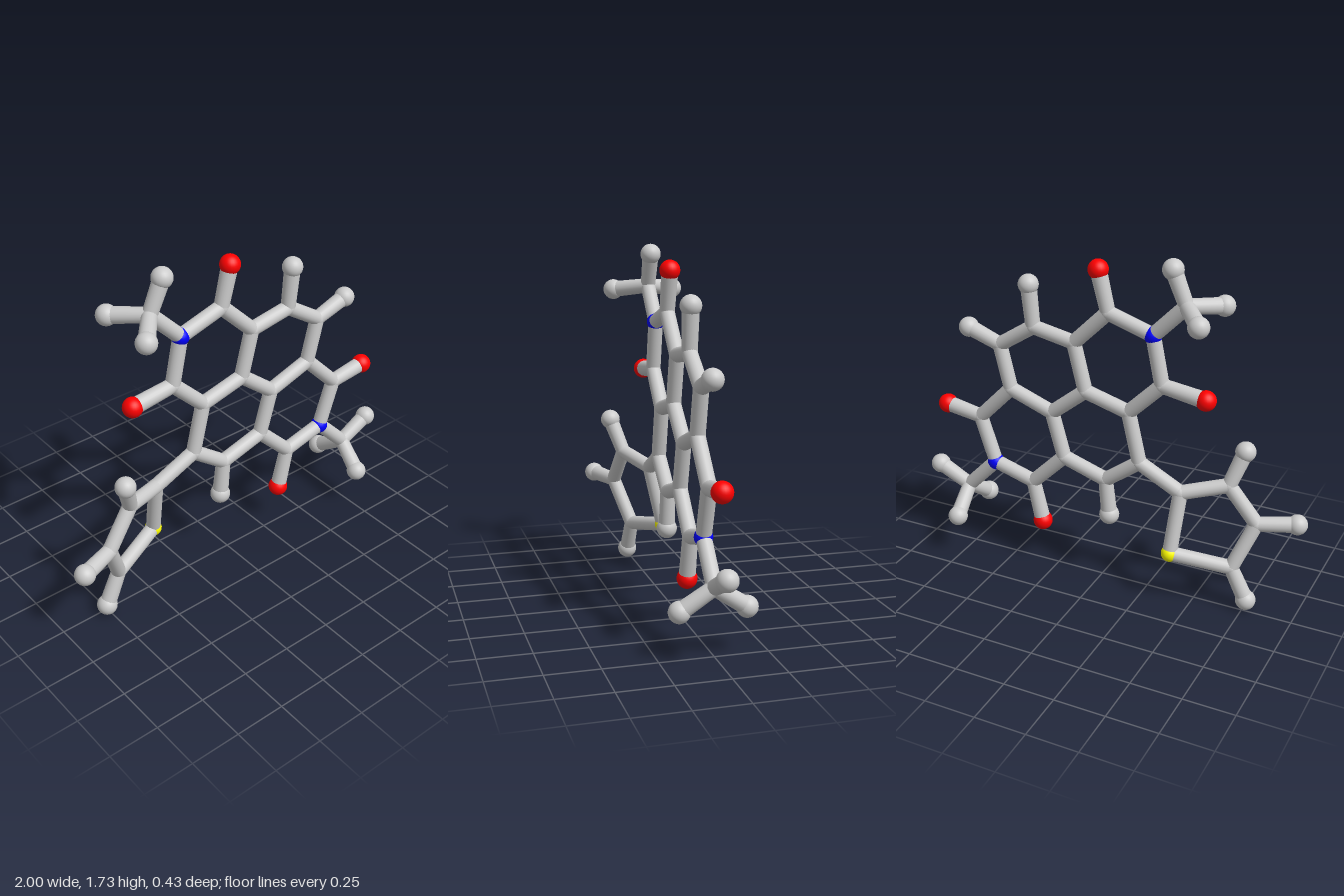
import * as THREE from 'three';

// Gentle lean of the flat fused-ring plane
const planeZ = (x) => 0.022 * x - 0.005;

// name: [x, y, z]; z falls back to the ring plane. First letter is the element.
const atoms = {
  // fused rings
  N1: [-0.26, 1.35], C1: [-0.03, 1.42], C2: [-0.31, 1.11], C3: [0.15, 1.24],
  C4: [0.09, 1.0], C5: [-0.14, 0.94], C6: [0.37, 1.28], C7: [0.56, 1.155],
  C8: [0.505, 0.93], C9: [0.275, 0.85], C10: [-0.2, 0.685], C11: [-0.02, 0.55],
  C12: [0.21, 0.62], C13: [0.69, 0.74], N2: [0.61, 0.5], C14: [0.39, 0.44],
  // atoms hanging off the rings
  O1: [0.02, 1.62], O2: [-0.53, 1.08], O3: [0.885, 0.77], O4: [0.34, 0.225],
  H6: [0.39, 1.49], H7: [0.735, 1.215], H11: [-0.04, 0.36],
  // methyl groups
  C20: [-0.42, 1.515], H20: [-0.35, 1.675, -0.01], H21: [-0.545, 1.49, 0.135], H22: [-0.54, 1.49, -0.17],
  C30: [0.78, 0.325], H30: [0.95, 0.41, 0.01], H31: [0.755, 0.22, 0.16], H32: [0.76, 0.22, -0.145],
  // twisted five-membered ring
  C15: [-0.42, 0.58, -0.02], S1: [-0.4, 0.275, -0.085], C16: [-0.68, 0.215, 0.015],
  C17: [-0.77, 0.44, 0.09], C18: [-0.63, 0.625, 0.07],
  H16: [-0.76, 0.05, 0.02], H17: [-0.95, 0.445, 0.16], H18: [-0.685, 0.79, 0.125],
};

// Chains of bonded atoms
const chains = [
  'N1 C1 C3 C4 C5 C2 N1', 'C3 C6 C7 C8 C9 C4', 'C5 C10 C11 C12 C9',
  'C8 C13 N2 C14 C12', 'C1 O1', 'C2 O2', 'C13 O3', 'C14 O4',
  'C6 H6', 'C7 H7', 'C11 H11',
  'N1 C20 H20', 'C20 H21', 'C20 H22', 'N2 C30 H30', 'C30 H31', 'C30 H32',
  'C10 C15 S1 C16 C17 C18 C15', 'C16 H16', 'C17 H17', 'C18 H18',
];

const kinds = {
  C: { name: 'carbonJoint', radius: 0.037, color: 0xcccccc },
  H: { name: 'hydrogenBall', radius: 0.05, color: 0xcccccc },
  O: { name: 'oxygenBall', radius: 0.049, color: 0xff0000 },
  N: { name: 'nitrogenJoint', radius: 0.043, color: 0x0000ff },
  S: { name: 'sulfurJoint', radius: 0.042, color: 0xffff00 },
};

export function createModel() {
  const model = new THREE.Group();
  model.name = 'molecule';
  const grey = new THREE.MeshStandardMaterial({ color: 0xcccccc });
  for (const kind of Object.values(kinds)) {
    kind.geometry = new THREE.SphereGeometry(kind.radius, 24, 16);
    kind.material = kind.color === 0xcccccc ? grey : new THREE.MeshStandardMaterial({ color: kind.color });
  }

  // Atoms
  const points = {};
  for (const [key, [x, y, z = planeZ(x)]] of Object.entries(atoms)) {
    points[key] = new THREE.Vector3(x, y, z);
    const kind = kinds[key[0]];
    const ball = new THREE.Mesh(kind.geometry, kind.material);
    ball.name = kind.name;
    ball.position.copy(points[key]);
    model.add(ball);
  }

  // Bonds: round rods, a little thicker where they end in a free ball
  const up = new THREE.Vector3(0, 1, 0);
  for (const chain of chains) {
    const keys = chain.split(' ');
    for (let i = 1; i < keys.length; i++) {
      const a = points[keys[i - 1]];
      const b = points[keys[i]];
      const dir = b.clone().sub(a);
      const endRadius = 'HO'.includes(keys[i][0]) ? 0.04 : 0.036;
      const rod = new THREE.Mesh(new THREE.CylinderGeometry(endRadius, 0.036, dir.length(), 20, 1, true), grey);
      rod.name = 'bond';
      rod.position.copy(a).add(b).multiplyScalar(0.5);
      rod.quaternion.setFromUnitVectors(up, dir.normalize());
      model.add(rod);
    }
  }
  return model;
}
